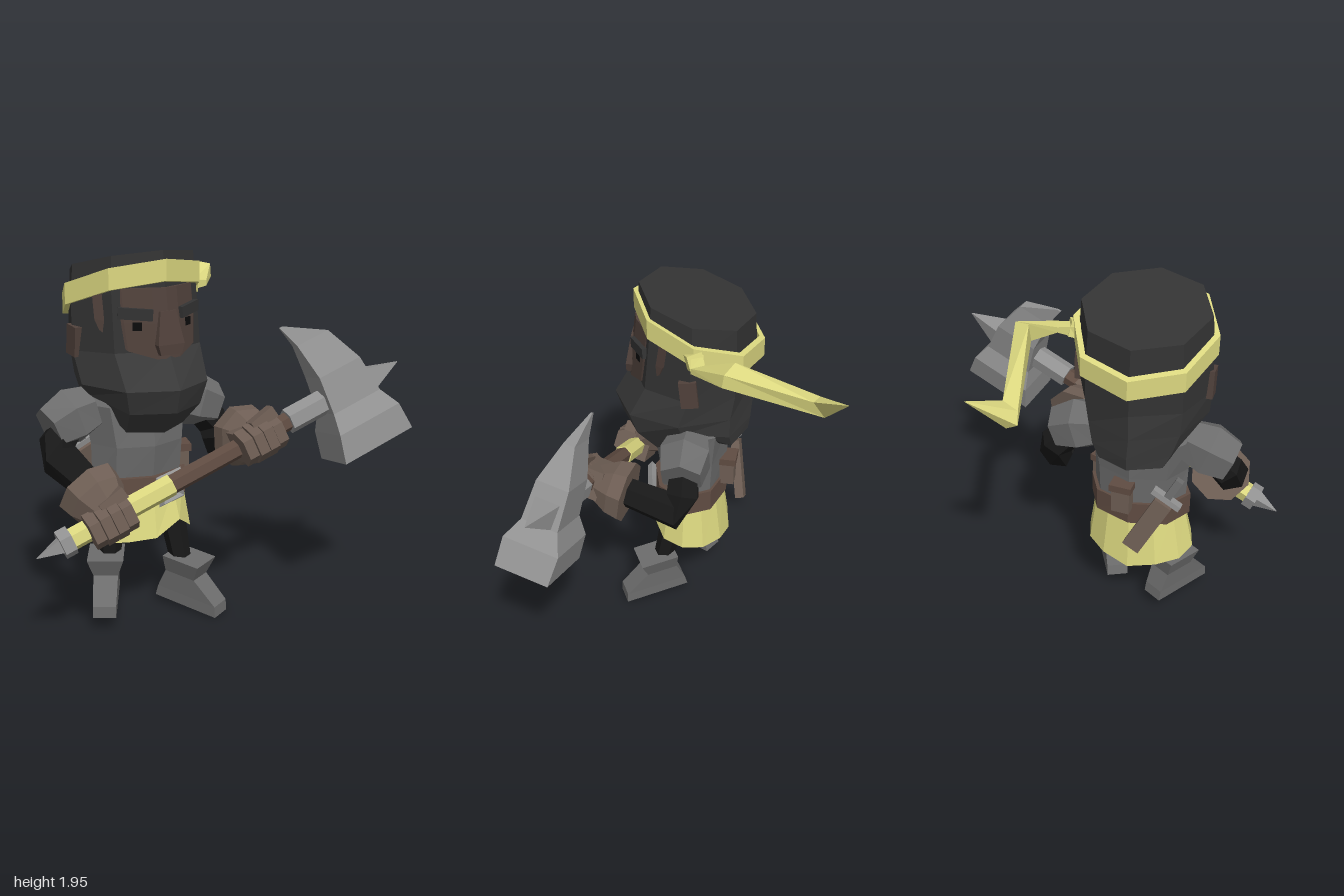
import * as THREE from 'three';

const V = (x, y, z) => new THREE.Vector3(x, y, z);
const HAIR = 0x333333, BEARD = 0x3a3a3a, SKIN = 0x50413b, CLOTH = 0xdcd880, STEEL = 0x929292,
  TUNIC = 0x6c6c6c, BLACK = 0x181818, LEATHER = 0x6e5e54, BELT = 0x604c42;
const CX = -0.29; // body centre line

function mesh(name, geometry, color, side = THREE.FrontSide) {
  const m = new THREE.Mesh(geometry, new THREE.MeshStandardMaterial({ color, side, flatShading: true }));
  m.name = name;
  return m;
}

// Skin a list of equal-length rings, optionally capped
function loft(rings, caps = true) {
  const out = [], n = rings[0].length;
  const tri = (...p) => p.forEach((v) => out.push(v.x, v.y, v.z));
  for (let i = 0; i + 1 < rings.length; i++)
    for (let j = 0; j < n; j++) {
      const k = (j + 1) % n, a = rings[i], b = rings[i + 1];
      tri(a[j], a[k], b[k]);
      tri(a[j], b[k], b[j]);
    }
  if (caps)
    for (let j = 1; j + 1 < n; j++) {
      const a = rings[0], b = rings[rings.length - 1];
      tri(a[0], a[j + 1], a[j]);
      tri(b[0], b[j], b[j + 1]);
    }
  const g = new THREE.BufferGeometry();
  g.setAttribute('position', new THREE.Float32BufferAttribute(out, 3));
  g.computeVertexNormals();
  return g;
}

// Horizontal oval ring from front z to back z, sloping up toward the front by k
function oval(n, cx, y, rx, zf, zb, k = 0) {
  const rz = (zf - zb) / 2, cz = (zf + zb) / 2;
  return Array.from({ length: n }, (_, j) => {
    const a = (j / n) * Math.PI * 2;
    return V(cx + rx * Math.sin(a), y + k * rz * Math.cos(a), cz + rz * Math.cos(a));
  });
}

// Rectangle ring in the xz plane
const rect = (y, w, zb, zf) => [V(-w, y, zf), V(w, y, zf), V(w, y, zb), V(-w, y, zb)];

// Faceted limb through points with a radius at each, carried along without twisting
function limb(pts, radii, sides) {
  const last = pts.length - 1;
  let u = null;
  return loft(pts.map((p, i) => {
    const t = pts[Math.min(i + 1, last)].clone().sub(pts[Math.max(i - 1, 0)]).normalize();
    u = u ? u.addScaledVector(t, -u.dot(t)) : (Math.abs(t.y) > 0.8 ? V(0, 0, 1) : V(0, 1, 0)).cross(t);
    u.normalize();
    const v = t.clone().cross(u);
    return Array.from({ length: sides }, (_, j) => {
      const a = ((j + 0.5) / sides) * Math.PI * 2;
      return p.clone().addScaledVector(u, radii[i] * Math.cos(a)).addScaledVector(v, radii[i] * Math.sin(a));
    });
  }));
}

function box(name, size, pos, color, rot = [0, 0, 0]) {
  const m = mesh(name, new THREE.BoxGeometry(...size), color);
  m.position.set(...pos);
  m.rotation.set(...rot);
  return m;
}

function makeHead() {
  const g = new THREE.Group();
  g.name = 'head';
  g.position.x = CX;
  g.rotation.y = 0.08;
  // beard and lower hair, parted at the sides, then the upper hair
  const chin = oval(8, 0.01, 1.06, 0.24, 0.31, -0.26, -0.1);
  const lower = oval(8, 0.01, 1.16, 0.295, 0.43, -0.27);
  for (const j of [2, 6]) {
    chin[j].y += 0.13;
    lower[j].y += 0.06;
  }
  const jaw = oval(8, 0, 1.45, 0.352, 0.375, -0.29, 0.05);
  g.add(mesh('beard', loft([chin, lower, oval(8, 0, 1.285, 0.335, 0.475, -0.28), jaw]), BEARD));
  g.add(mesh('hair', loft([jaw, oval(8, 0, 1.68, 0.345, 0.34, -0.29, 0.3), oval(8, 0, 1.87, 0.33, 0.325, -0.28, 0.25)]), HAIR));
  // face panel wrapping back to the temples
  const faceRing = (y, z, s, drop) => [[0, 0.37, 0], [0.07, 0.355, 0], [0.2, 0.285, 0.3], [0.3, 0.175, 1], [0, 0, 1],
    [-0.3, 0.175, 1], [-0.2, 0.285, 0.3], [-0.07, 0.355, 0]].map(([x, d, f]) => V(x * s, y + drop * f, d + z));
  g.add(mesh('face', loft([faceRing(1.43, 0.02, 0.95, 0.14), faceRing(1.6, 0.003, 1, 0.02), faceRing(1.77, -0.02, 1, 0)]), SKIN));
  g.add(mesh('nose', loft([rect(1.45, 0.06, 0.3, 0.4), rect(1.5, 0.075, 0.3, 0.4), rect(1.66, 0.045, 0.3, 0.37)]), SKIN));
  for (const s of [-1, 1]) {
    g.add(box('eye', [0.045, 0.04, 0.03], [s * 0.14, 1.59, 0.31], 0x0c0c0c, [0, s * 0.5, 0]));
    g.add(box('eyebrow', [0.17, 0.055, 0.06], [s * 0.145, 1.65, 0.3], HAIR, [0, s * 0.5, s * 0.08]));
    g.add(box('ear', [0.05, 0.15, 0.09], [s * 0.335, 1.5, 0.04], SKIN, [0.1, 0, 0]));
  }
  // headband
  const band = (y, r) => oval(8, 0, y, 0.34 + r, 0.325 + r, -0.3 - r, 0.37);
  g.add(mesh('headband', loft([band(1.675, 0), band(1.675, 0.03), band(1.78, 0.03), band(1.78, 0), band(1.675, 0)], false), CLOTH));
  return g;
}

// Knot at the side of the headband with its trailing ribbon
function makeRibbon() {
  const g = new THREE.Group();
  g.name = 'headbandTail';
  g.add(box('headbandKnot', [0.06, 0.08, 0.08], [0.07, 1.71, -0.02], CLOTH, [0.2, 0.5, 0.2]));
  const tip = V(0.3, 1.68, -0.79);
  g.add(mesh('headbandRibbon', loft([
    [V(0.05, 1.74, -0.06), V(0.05, 1.74, 0), V(0.05, 1.68, 0), V(0.05, 1.68, -0.06)],
    [V(0.14, 1.73, -0.08), V(0.18, 1.73, -0.02), V(0.18, 1.7, -0.02), V(0.14, 1.7, -0.08)],
    [V(0.22, 1.81, -0.24), V(0.31, 1.79, -0.2), V(0.31, 1.72, -0.19), V(0.22, 1.71, -0.22)],
    [V(0.1, 1.59, -0.65), V(0.19, 1.61, -0.62), V(0.15, 1.5, -0.68), V(0.09, 1.53, -0.68)],
    [tip, tip, tip, tip]]), CLOTH));
  return g;
}

function makeBody() {
  const g = new THREE.Group();
  g.name = 'body';
  g.add(mesh('tunic', loft([oval(8, -0.28, 0.74, 0.26, 0.23, -0.13), oval(8, -0.28, 0.95, 0.265, 0.26, -0.15),
    oval(8, -0.28, 1.16, 0.3, 0.24, -0.17), oval(8, -0.28, 1.28, 0.2, 0.18, -0.14)]), TUNIC));
  g.add(mesh('belt', loft([oval(8, -0.28, 0.655, 0.285, 0.275, -0.15), oval(8, -0.28, 0.785, 0.285, 0.265, -0.15)]), BELT));
  // skirt split at the front, with a lower point behind
  const hem = oval(12, CX, 0.425, 0.305, 0.29, -0.17, 0.15);
  hem[1].y += 0.07;
  hem[6].y -= 0.03;
  g.add(mesh('skirt', loft([hem, oval(12, -0.28, 0.69, 0.255, 0.24, -0.13)], false), CLOTH, THREE.DoubleSide));
  // buckle
  const buckle = mesh('buckle', new THREE.TorusGeometry(0.095, 0.024, 4, 4).rotateZ(Math.PI / 4), STEEL);
  buckle.position.set(-0.2, 0.72, 0.27);
  buckle.rotation.set(0, 0.2, 0.15);
  g.add(buckle, box('bucklePin', [0.07, 0.03, 0.03], [-0.22, 0.72, 0.275], STEEL));
  // pouches
  for (const [x, y, z, r] of [[-0.05, 0.8, 0.1, 1.3], [-0.25, 0.83, -0.16, 0]]) {
    g.add(box('pouch', [0.1, 0.15, 0.08], [x, y, z], LEATHER, [0, r, 0]));
    g.add(box('pouchFlap', [0.12, 0.04, 0.1], [x, y + 0.08, z], BELT, [0, r, 0]));
  }
  // dagger slung across the back
  const dagger = new THREE.Group();
  dagger.name = 'dagger';
  dagger.position.set(-0.33, 0.57, -0.23);
  dagger.quaternion.setFromUnitVectors(V(0, 1, 0), V(-0.22, 0.43, 0.08).normalize());
  dagger.add(box('sheath', [0.1, 0.34, 0.05], [0, 0.17, 0], LEATHER), box('guard', [0.17, 0.03, 0.05], [0, 0.37, 0], STEEL),
    box('grip', [0.04, 0.13, 0.04], [0, 0.44, 0], TUNIC));
  g.add(dagger);
  return g;
}

// Narrow boot, toe along +z
function makeBoot(x, y, z, pitch, yaw) {
  const m = mesh('boot', loft([rect(0, 0.06, -0.18, 0.2), rect(0.06, 0.06, -0.17, 0.19),
    rect(0.17, 0.065, -0.13, 0.05), rect(0.265, 0.095, -0.14, 0.08)]), TUNIC);
  m.position.set(x, y, z);
  m.rotation.set(pitch, yaw, 0, 'YXZ');
  return m;
}

// Shoulder pad, sleeve and flared cuff of one arm
function makeArm(name, pad, arm, cuff) {
  const g = new THREE.Group();
  g.name = name;
  g.add(mesh('shoulderPad', limb(pad, [0.12, 0.15, 0.12], 6), TUNIC));
  g.add(mesh('sleeve', limb(arm, [0.08, 0.095, 0.1, 0.08], 6), BLACK));
  g.add(mesh('gloveCuff', limb([cuff[0], cuff[0].clone().lerp(cuff[1], 0.4), cuff[1]], [0.17, 0.155, 0.09], 8), LEATHER));
  return g;
}

// War hammer along local +y, striking face toward local +x, with the gripping fists
function makeHammer() {
  const g = new THREE.Group();
  g.name = 'hammer';
  const Y = V(1.98, 0.785, 0.21).normalize();
  const Z = V(0.35, -0.93, 0.25).cross(Y).normalize(), X = Y.clone().cross(Z);
  g.quaternion.setFromRotationMatrix(new THREE.Matrix4().makeBasis(X, Y, Z));
  g.position.set(-0.99, 0.535, 0.39);
  const rod = (name, s0, s1, r0, r1, n, color, z = 0) => {
    const m = mesh(name, new THREE.CylinderGeometry(r1, r0, s1 - s0, n), color);
    m.position.set(0, (s0 + s1) / 2, z);
    m.rotation.y = Math.PI / n;
    g.add(m);
  };
  rod('buttSpike', 0, 0.15, 0.002, 0.055, 4, STEEL);
  rod('buttCollar', 0.13, 0.19, 0.075, 0.075, 6, STEEL);
  rod('gripWrap', 0.17, 0.75, 0.057, 0.057, 6, CLOTH);
  rod('shaft', 0.75, 1.46, 0.05, 0.05, 6, BELT);
  rod('socket', 1.44, 1.7, 0.068, 0.068, 6, STEEL);
  rod('topSpike', 1.9, 2.14, 0.1, 0.002, 4, STEEL);
  // head: offset from shaft, start and end along shaft, half thickness
  const sections = [[-0.45, 1.6, 1.62, 0.005], [-0.33, 1.64, 1.83, 0.03], [-0.14, 1.66, 1.91, 0.085],
    [0.06, 1.65, 1.94, 0.095], [0.16, 1.615, 1.985, 0.145], [0.31, 1.585, 2.005, 0.14]];
  g.add(mesh('hammerHead', loft(sections.map(([e, a, b, t]) =>
    [V(e, a, -t), V(e, b, -t), V(e, b, t), V(e, a, t)])), STEEL));
  // fists: four knuckled fingers and a thumb each
  for (const s of [0.39, 1.25]) {
    for (let i = 0; i < 4; i++) {
      const r = i % 3 ? 0.105 : 0.095, s0 = s - 0.115 + i * 0.058;
      rod('finger', s0, s0 + 0.054, r, r, 6, LEATHER, 0.05);
    }
    g.add(box('palm', [0.16, 0.22, 0.12], [0, s, -0.02], LEATHER));
    g.add(box('thumb', [0.06, 0.14, 0.07], [-0.09, s + 0.05, 0.06], LEATHER, [0, 0, 0.2]));
  }
  return g;
}

export function createModel() {
  const model = new THREE.Group();
  model.name = 'beardedHammerFighter';
  model.add(makeHead(), makeRibbon(), makeBody(), makeHammer());
  // legs and boots
  model.add(mesh('leftLeg', limb([V(-0.09, 0.22, 0.2), V(-0.13, 0.66, 0.1)], [0.055, 0.08], 6), BLACK));
  model.add(mesh('rightLeg', limb([V(-0.455, 0.25, 0.06), V(-0.43, 0.66, 0.04)], [0.055, 0.08], 6), BLACK));
  model.add(makeBoot(-0.065, 0.022, 0.235, 0.11, 0.5), makeBoot(-0.495, 0.075, 0.1, 0.03, -0.5));
  // arms
  model.add(makeArm('leftArm', [V(-0.05, 1.13, 0.03), V(0.06, 1.11, 0.03), V(0.19, 1.06, 0.03)],
    [V(0.08, 1.08, 0.03), V(0.2, 0.96, 0.02), V(0.22, 0.86, 0.05), V(0.2, 0.95, 0.34)],
    [V(0.21, 0.95, 0.31), V(0.18, 0.98, 0.5)]));
  model.add(makeArm('rightArm', [V(-0.54, 1.14, 0.05), V(-0.65, 1.11, 0.05), V(-0.77, 1.06, 0.06)],
    [V(-0.64, 1.09, 0.05), V(-0.74, 0.99, 0.08), V(-0.75, 0.92, 0.14), V(-0.68, 0.83, 0.3)],
    [V(-0.67, 0.8, 0.29), V(-0.62, 0.7, 0.46)]));
  return model;
}
